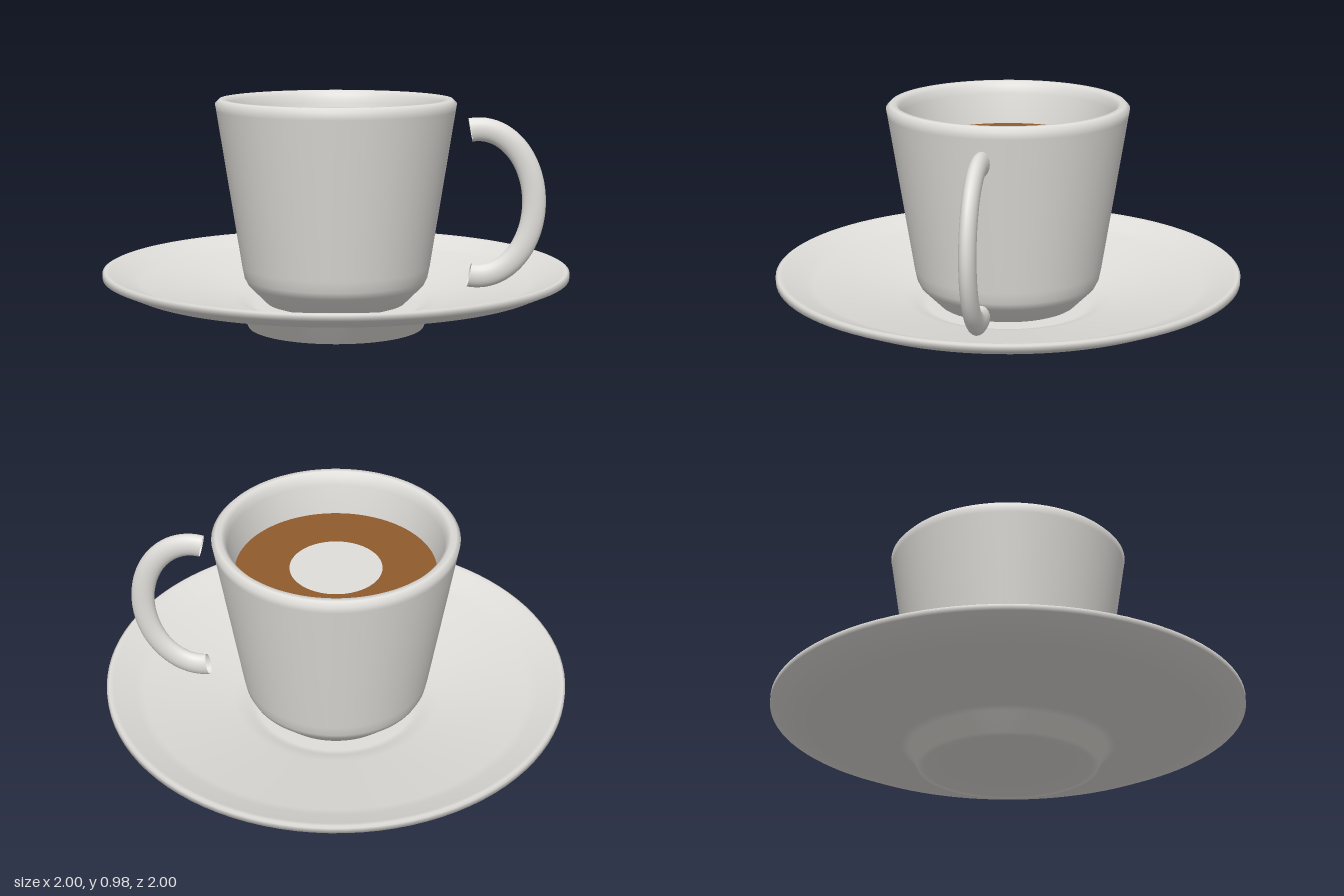
import * as THREE from 'three';

const SEGMENTS = 96;

// Half ellipse path for the handle
class HandleCurve extends THREE.Curve {
  getPoint(t, target = new THREE.Vector3()) {
    const a = THREE.MathUtils.degToRad(98.5 - 197 * t);
    return target.set(0.61 + 0.24 * Math.cos(a), 0.535 + 0.318 * Math.sin(a), 0);
  }
}

export function createModel() {
  const group = new THREE.Group();
  const porcelain = new THREE.MeshStandardMaterial({ color: 0xe0deda, side: THREE.DoubleSide });
  porcelain.name = 'porcelain';
  const coffee = new THREE.MeshStandardMaterial({ color: 0x8f5c2d });
  coffee.name = 'coffee';

  const add = (name, geometry, material) => {
    const mesh = new THREE.Mesh(geometry, material);
    mesh.name = name;
    group.add(mesh);
    return mesh;
  };
  const lathe = (profile) =>
    new THREE.LatheGeometry(profile.map(([r, y]) => new THREE.Vector2(r, y)), SEGMENTS);

  // Saucer: recessed foot, sloping underside, thin rim, dished top with a flat well
  add('saucer', lathe([
    [0, 0.02], [0.27, 0.02], [0.3, 0.018], [0.35, 0], [0.38, 0],
    [0.415, 0.08], [0.45, 0.088], [0.85, 0.174], [0.9, 0.185], [1, 0.23],
    [1, 0.255], [0.99, 0.26], [0.97, 0.255], [0.88, 0.217], [0.84, 0.207],
    [0.45, 0.122], [0.4, 0.11], [0.375, 0.095], [0.35, 0.093], [0, 0.093],
  ]), porcelain);

  // Cup: tapered wall with rounded foot and rim, hollow inside
  add('cup', lathe([
    [0, 0.095], [0.27, 0.095], [0.3, 0.105], [0.38, 0.185], [0.395, 0.215],
    [0.405, 0.265], [0.51, 0.935], [0.515, 0.965], [0.497, 0.984], [0.475, 0.984],
    [0.458, 0.965], [0.45, 0.93], [0.425, 0.8], [0.35, 0.25], [0.27, 0.16], [0, 0.16],
  ]), porcelain);

  // Handle: open tube, flattened sideways
  const handle = new THREE.TubeGeometry(new HandleCurve(), 48, 0.051, 20, false);
  handle.scale(1, 1, 0.67);
  add('handle', handle, porcelain);

  // Drink surface with a round patch of foam
  const disc = (radius) => new THREE.CircleGeometry(radius, SEGMENTS).rotateX(-Math.PI / 2);
  add('coffeeSurface', disc(0.426), coffee).position.y = 0.8;
  add('foam', disc(0.195), porcelain).position.y = 0.804;

  return group;
}
